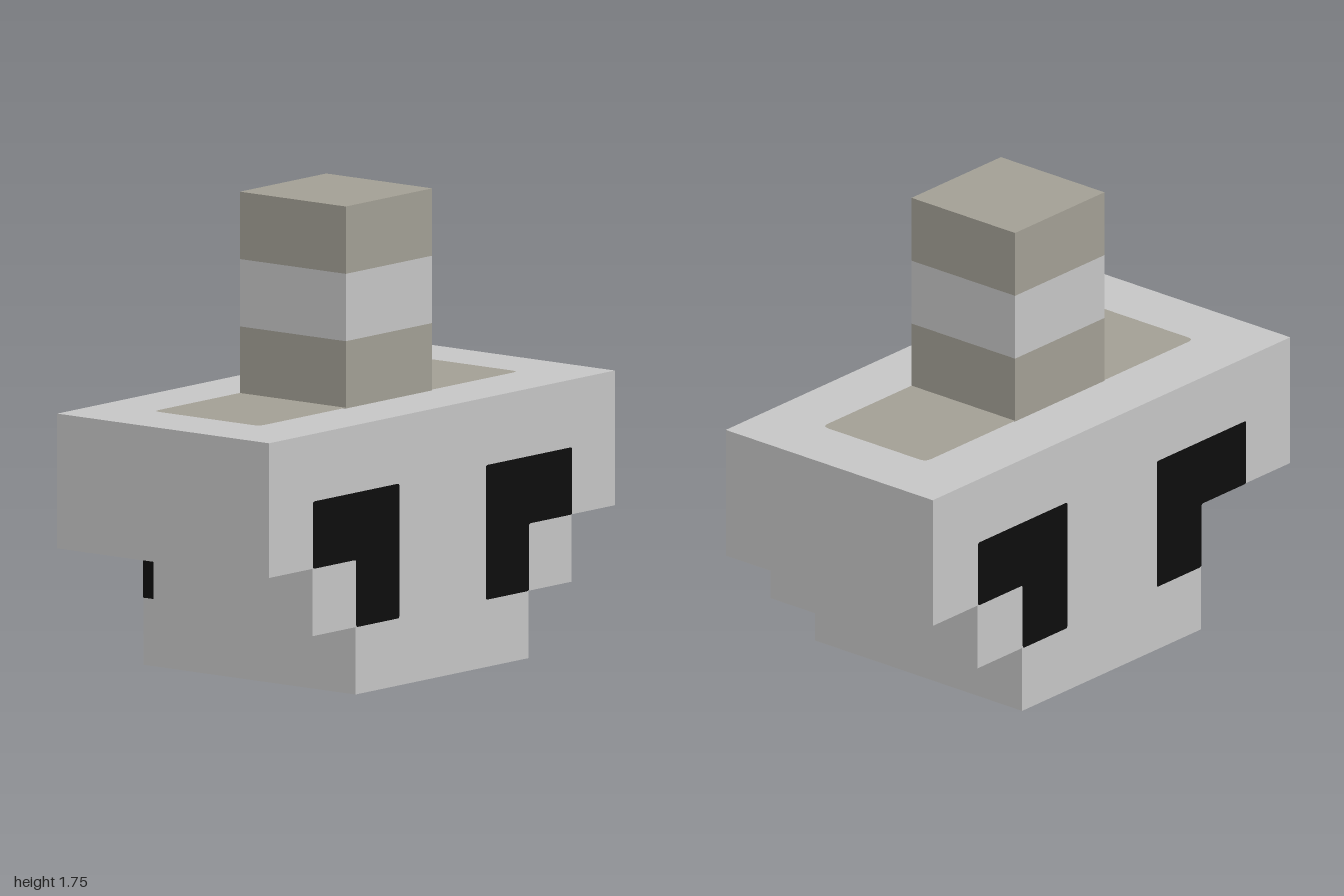
import * as THREE from 'three';

const mat = (name, color) => {
  const m = new THREE.MeshStandardMaterial({ color });
  m.name = name;
  return m;
};

// Flat outline with slightly rounded corners
function roundedOutline(points, r) {
  const pts = points.map(([x, y]) => new THREE.Vector2(x, y));
  const shape = new THREE.Shape();
  pts.forEach((p, i) => {
    const prev = pts[(i + pts.length - 1) % pts.length];
    const next = pts[(i + 1) % pts.length];
    const a = p.clone().add(prev.clone().sub(p).setLength(r));
    const b = p.clone().add(next.clone().sub(p).setLength(r));
    if (i === 0) shape.moveTo(a.x, a.y);
    else shape.lineTo(a.x, a.y);
    shape.quadraticCurveTo(p.x, p.y, b.x, b.y);
  });
  shape.closePath();
  return new THREE.ShapeGeometry(shape, 4);
}

export function createModel() {
  const stone = mat('pale grey', 0xc9c9c9);
  const tan = mat('dull tan', 0xa5a297);
  const black = mat('black', 0x0d0d0d);
  const model = new THREE.Group();
  const lift = 0.003;

  const add = (name, geometry, material, parent = model) => {
    const mesh = new THREE.Mesh(geometry, material);
    mesh.name = name;
    parent.add(mesh);
    return mesh;
  };
  // Box given by its minimum and maximum corners
  const block = (name, [x0, y0, z0], [x1, y1, z1], material) => {
    const g = new THREE.BoxGeometry(x1 - x0, y1 - y0, z1 - z0);
    g.translate((x0 + x1) / 2, (y0 + y1) / 2, (z0 + z1) / 2);
    return add(name, g, material);
  };

  // Stepped head; the right step stops short of the back
  block('headTop', [-1, 0.5, -0.5], [1, 1, 0.5], stone);
  block('jaw', [-0.5, 0, -0.5], [0.5, 0.5, 0.5], stone);
  block('leftStep', [0.5, 0.25, -0.5], [0.75, 0.5, 0.5], stone);
  block('rightStep', [-0.75, 0.25, -0.25], [-0.5, 0.5, 0.5], stone);

  // Banded post
  ['lowerBand', 'middleBand', 'upperBand'].forEach((name, i) => {
    const y = 1 + i * 0.25;
    block(name, [-0.25, y, -0.25], [0.25, y + 0.25, 0.25], i === 1 ? stone : tan);
  });

  // Tan patch around the foot of the post
  const patch = add('topPatch', roundedOutline(
    [[-0.75, -0.25], [0.75, -0.25], [0.75, 0.25], [-0.75, 0.25]], 0.03), tan);
  patch.rotation.x = -Math.PI / 2;
  patch.position.y = 1 + lift;

  // L-shaped eyes on front and back
  const eyeOutline = [[0.25, 0.25], [0.5, 0.25], [0.5, 0.5], [0.75, 0.5], [0.75, 0.75], [0.25, 0.75]];
  for (const face of ['front', 'back']) {
    const pair = new THREE.Group();
    pair.name = face + 'Eyes';
    for (const s of [1, -1]) {
      const points = eyeOutline.map(([x, y]) => [s * x, y]);
      if (s < 0) points.reverse();
      add('eye', roundedOutline(points, 0.01), black, pair).position.z = 0.5 + lift;
    }
    if (face === 'back') pair.rotation.y = Math.PI;
    model.add(pair);
  }

  // Black lining of the notch at the back right
  const wall = add('notchWall', new THREE.PlaneGeometry(0.25, 0.25), black);
  wall.rotation.y = -Math.PI / 2;
  wall.position.set(-0.5 - lift, 0.375, -0.375);
  const roof = add('notchRoof', new THREE.PlaneGeometry(0.25, 0.25), black);
  roof.rotation.x = Math.PI / 2;
  roof.position.set(-0.625, 0.5 - lift, -0.375);

  return model;
}
